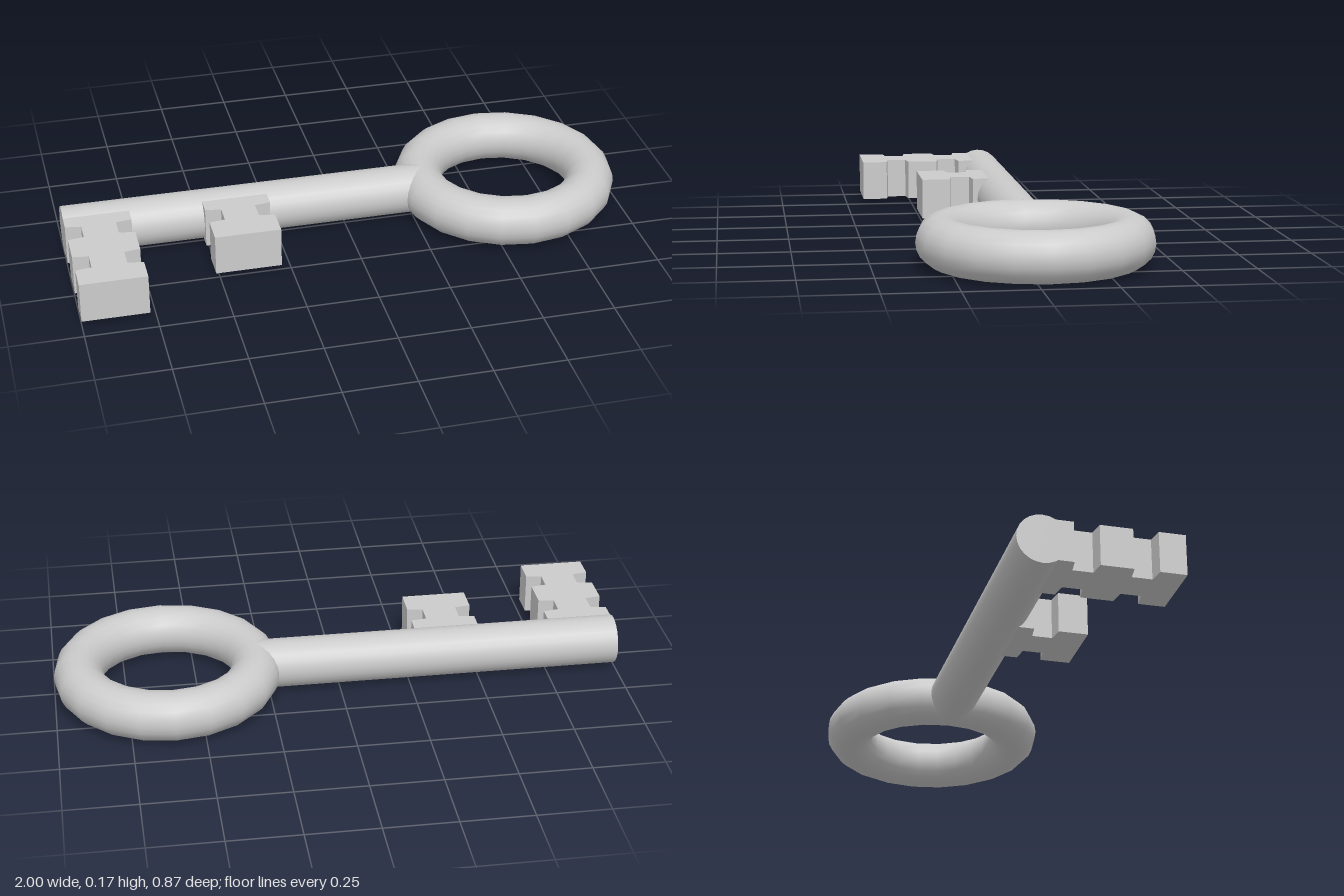
import * as THREE from 'three';

const RADIUS = 0.086; // thickness shared by the ring and the shaft
const AXIS_Z = -0.04;

export function createModel() {
  const key = new THREE.Group();
  key.name = 'key';
  const material = new THREE.MeshStandardMaterial({ color: 0xcccccc });

  const add = (name, geometry, x, y, z) => {
    const mesh = new THREE.Mesh(geometry, material);
    mesh.name = name;
    mesh.position.set(x, y, z);
    key.add(mesh);
    return mesh;
  };

  // Ring handle, lying flat
  const ring = new THREE.TorusGeometry(0.311, RADIUS, 20, 20).rotateX(Math.PI / 2);
  add('ringHandle', ring, 0.603, RADIUS, AXIS_Z);

  // Round shaft running from the tip into the ring
  const start = -1, end = 0.3;
  const shaft = new THREE.CylinderGeometry(RADIUS, RADIUS, end - start, 24).rotateZ(Math.PI / 2);
  add('shaft', shaft, (start + end) / 2, RADIUS, AXIS_Z);

  // Notched bit: half outline of [half width, z], mirrored and extruded upwards
  const addBit = (name, x, outline) => {
    const right = outline.map(([w, z]) => new THREE.Vector2(w, z));
    const left = outline.map(([w, z]) => new THREE.Vector2(-w, z)).reverse();
    const geometry = new THREE.ExtrudeGeometry(new THREE.Shape([...right, ...left]), {
      depth: 0.144, bevelEnabled: false,
    }).rotateX(Math.PI / 2);
    add(name, geometry, x, 0.16, 0);
  };

  const wide = 0.115, narrow = 0.06;
  const notch = (z0, z1) => [[wide, z0], [narrow, z0 + 0.008], [narrow, z1 - 0.008], [wide, z1]];

  addBit('longBit', -0.885, [
    [wide, -0.03], ...notch(0.063, 0.148), ...notch(0.259, 0.344), [wide, 0.435],
  ]);
  addBit('shortBit', -0.398, [
    [wide, -0.03], ...notch(0.063, 0.148), [wide, 0.25],
  ]);

  return key;
}
